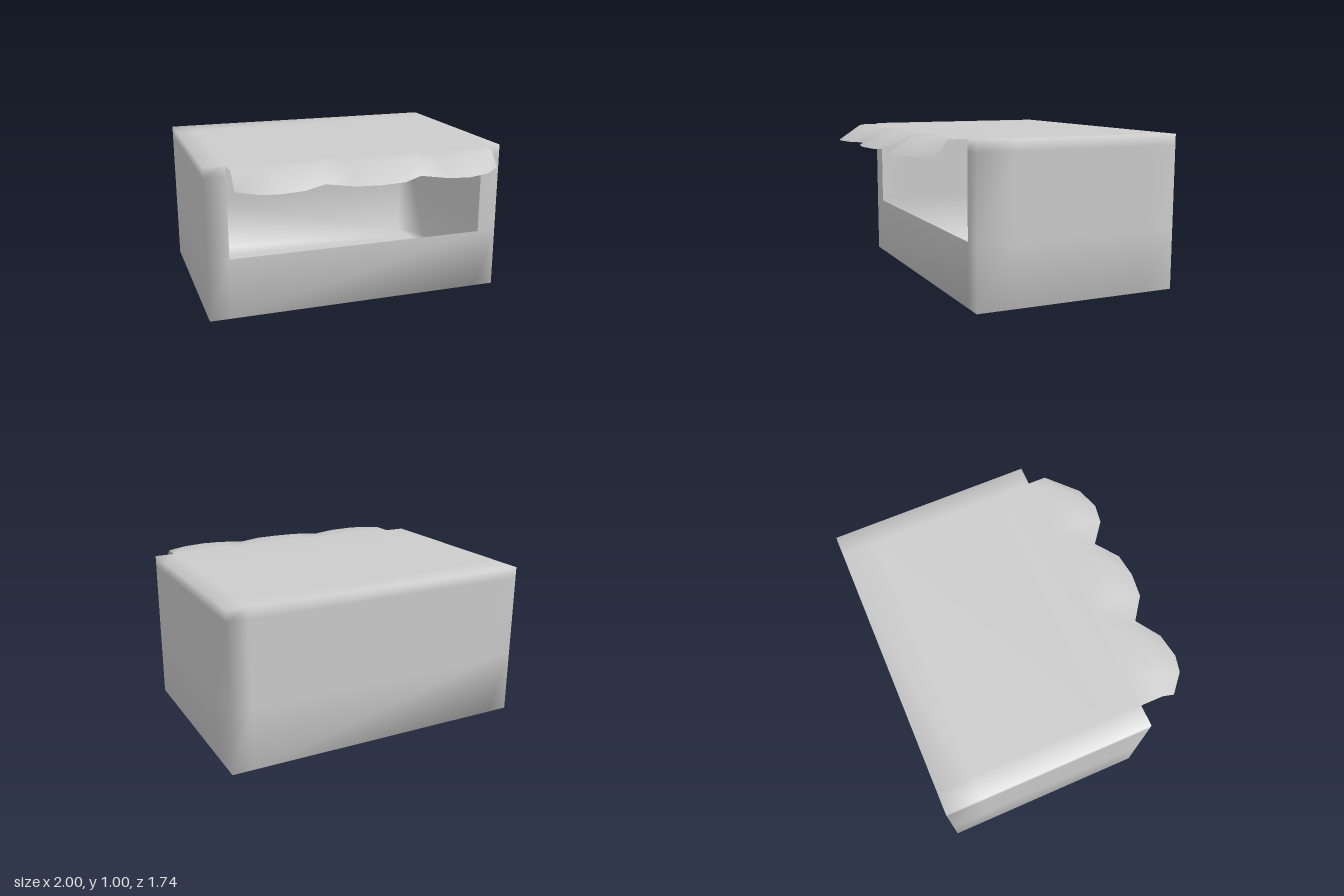
import * as THREE from 'three';
import { mergeVertices } from 'three/addons/utils/BufferGeometryUtils.js';

const material = new THREE.MeshStandardMaterial({ color: 0xcccccc, side: THREE.DoubleSide });

// Positions of the edge loops along each axis
const XS = [-1, -0.86, 0.87, 1];
const YS = [0, 0.4, 0.93, 1];
const ZS = [-0.87, -0.65, 0.25, 0.49];

// Thin hollow box with shared, softly shaded corners and a front opening
function createShell() {
  let geo = new THREE.BoxGeometry(3, 3, 3, 3, 3, 3);
  geo.deleteAttribute('uv');
  geo.deleteAttribute('normal');
  geo = mergeVertices(geo);
  const p = geo.attributes.position;
  const cell = (v) => Math.round(v + 1.5);

  // Leave out the front cells of the opening
  const kept = [];
  const idx = geo.index.array;
  for (let i = 0; i < idx.length; i += 3) {
    const tri = [idx[i], idx[i + 1], idx[i + 2]];
    const open = tri.every((v) => cell(p.getZ(v)) === 3 && cell(p.getY(v)) >= 1
      && cell(p.getX(v)) >= 1 && cell(p.getX(v)) <= 2);
    if (!open) kept.push(...tri);
  }
  geo.setIndex(kept);

  // Move the even grid onto the edge loops
  for (let i = 0; i < p.count; i++) {
    p.setXYZ(i, XS[cell(p.getX(i))], YS[cell(p.getY(i))], ZS[cell(p.getZ(i))]);
  }
  geo.computeVertexNormals();
  return new THREE.Mesh(geo, material);
}

// Flat canopy that bends down to a scalloped lip
function createAwning() {
  const lip = [
    [-0.86, 0.74], [-0.74, 0.845], [-0.63, 0.87], [-0.47, 0.845], [-0.31, 0.74],
    [-0.16, 0.85], [0, 0.87], [0.16, 0.85], [0.31, 0.74],
    [0.45, 0.85], [0.58, 0.87], [0.73, 0.82], [0.87, 0.69],
  ];
  const positions = [];
  const indices = [];
  lip.forEach(([x, z], i) => {
    const crease = 0.61 + (z - 0.69) * 0.56;
    positions.push(x, 1, 0.49, x, 1, crease, x, 0.9, z);
    if (i === 0) return;
    for (let r = 0; r < 2; r++) {
      const a = (i - 1) * 3 + r;
      const b = i * 3 + r;
      indices.push(a, a + 1, b, b, a + 1, b + 1);
    }
  });
  const geo = new THREE.BufferGeometry();
  geo.setAttribute('position', new THREE.Float32BufferAttribute(positions, 3));
  geo.setIndex(indices);
  geo.computeVertexNormals();
  return new THREE.Mesh(geo, material);
}

export function createModel() {
  const model = new THREE.Group();
  model.name = 'stall';
  const shell = createShell();
  shell.name = 'shell';
  const awning = createAwning();
  awning.name = 'awning';
  model.add(shell, awning);
  return model;
}
